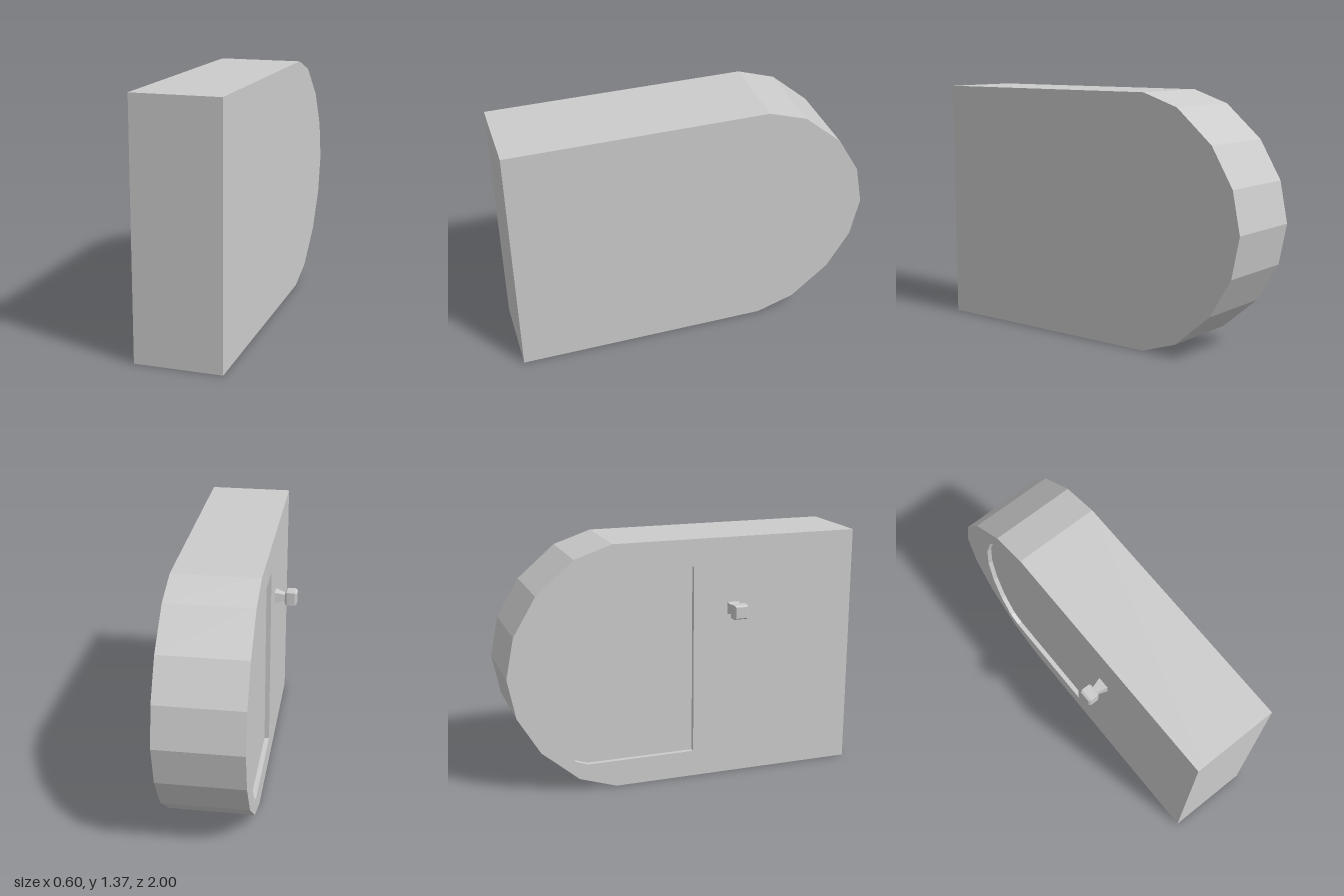
import * as THREE from 'three';

const MID = 0.685; // mid height, the outline is symmetric about it

// Closed outline in (z, y): the upper half is given as [z, height above the middle] and mirrored below
function outline(upper, tip) {
  const pts = [
    ...upper.map(([z, h]) => new THREE.Vector2(z, MID + h)),
    new THREE.Vector2(tip, MID),
    ...[...upper].reverse().map(([z, h]) => new THREE.Vector2(z, MID - h)),
  ];
  return pts;
}

export function createModel() {
  const group = new THREE.Group();
  const material = new THREE.MeshStandardMaterial({ color: 0xcccccc, flatShading: true });

  const bodyPts = outline([[1, 0.685], [-0.41, 0.685], [-0.62, 0.615], [-0.83, 0.435], [-0.955, 0.225]], -1);
  const panelPts = outline([[0.045, 0.535], [-0.57, 0.535], [-0.64, 0.51], [-0.72, 0.385], [-0.775, 0.2]], -0.795);

  // Extrudes a (z, y) shape towards -x, starting at the given x
  const slab = (name, shape, x, depth) => {
    const mesh = new THREE.Mesh(new THREE.ExtrudeGeometry(shape, { depth, bevelEnabled: false }), material);
    mesh.name = name;
    mesh.rotation.y = -Math.PI / 2;
    mesh.position.x = x;
    group.add(mesh);
  };

  // Solid body, then a thin face layer whose opening forms the sunken panel
  slab('body', new THREE.Shape(bodyPts), 0.298, 0.445);
  const face = new THREE.Shape(bodyPts);
  face.holes.push(new THREE.Path(panelPts));
  slab('recessedFace', face, -0.147, 0.027);

  // Square knob: [half width, distance out from the face], with flared neck and bevelled head
  const profile = [[0.034, 0], [0.019, 0.056], [0.031, 0.058], [0.039, 0.068], [0.039, 0.114], [0.031, 0.126], [0, 0.126]];
  const knob = new THREE.Mesh(
    new THREE.LatheGeometry(profile.map(([r, y]) => new THREE.Vector2(r * Math.SQRT2, y)), 4, Math.PI / 4),
    material
  );
  knob.name = 'knob';
  knob.rotation.z = Math.PI / 2;
  knob.position.set(-0.174, 0.972, 0.277);
  group.add(knob);

  return group;
}
